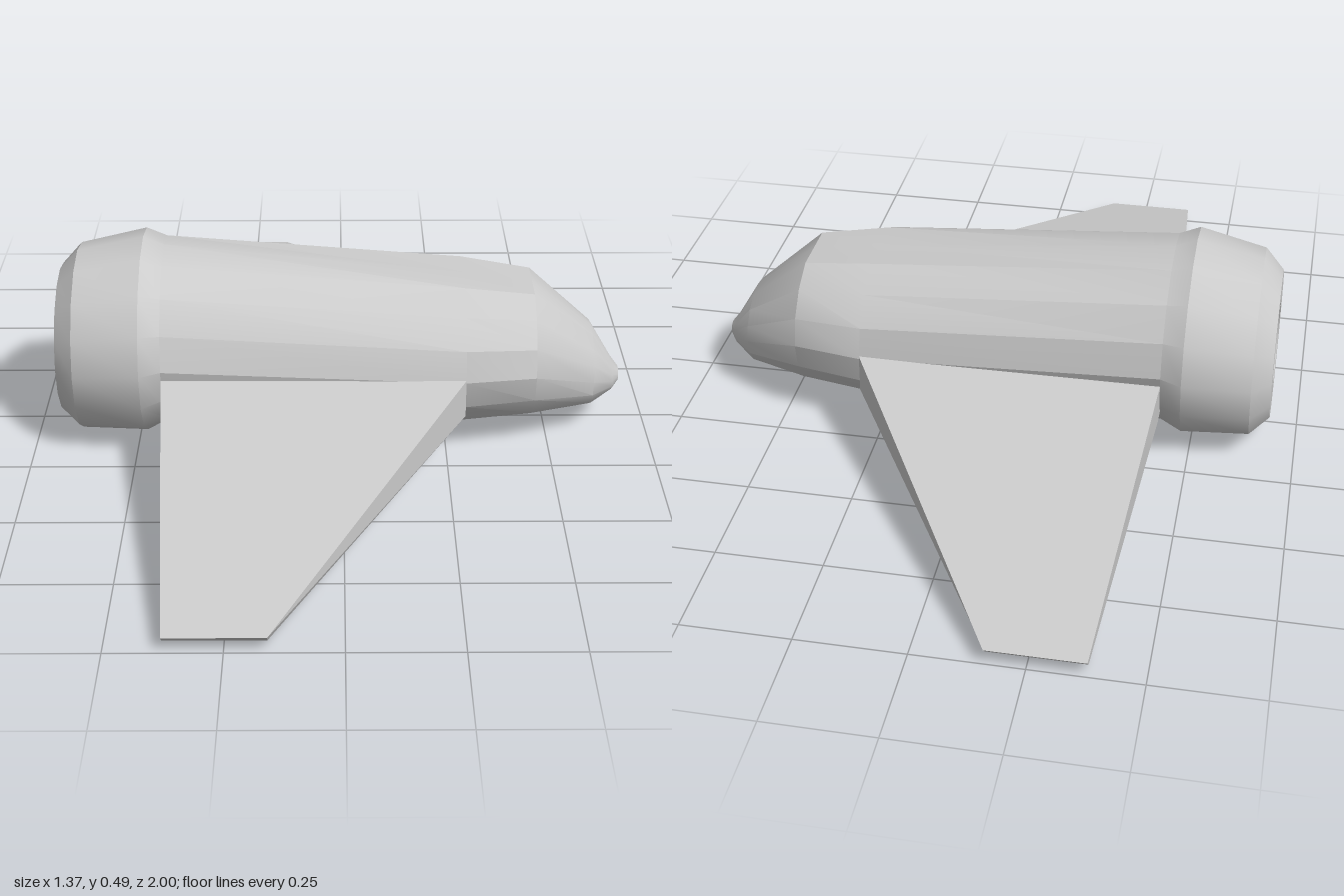
import * as THREE from 'three';
import { toCreasedNormals } from 'three/addons/utils/BufferGeometryUtils.js';

const SIDES = 16;
const material = new THREE.MeshStandardMaterial({ color: 0xcccccc });

// Skin a series of closed rings (arrays of Vector3); collapsed rings act as caps.
function loft(rings, crease) {
  const pos = [];
  const tri = (a, b, c) => {
    const area = b.clone().sub(a).cross(c.clone().sub(a)).length();
    if (area > 1e-8) pos.push(...a.toArray(), ...b.toArray(), ...c.toArray());
  };
  for (let i = 0; i < rings.length - 1; i++) {
    const n = rings[i].length;
    for (let j = 0; j < n; j++) {
      const k = (j + 1) % n;
      const a = rings[i][j], b = rings[i][k], c = rings[i + 1][k], d = rings[i + 1][j];
      tri(a, b, c);
      tri(a, c, d);
    }
  }
  const geometry = new THREE.BufferGeometry();
  geometry.setAttribute('position', new THREE.Float32BufferAttribute(pos, 3));
  return toCreasedNormals(geometry, crease);
}

// Fuselage cross-section, optionally flattened on top.
function section([x, bottom, top, halfWidth, flatTop = 9]) {
  const mid = (top + bottom) / 2, ry = (top - bottom) / 2;
  return Array.from({ length: SIDES }, (_, j) => {
    const t = (j / SIDES) * Math.PI * 2;
    return new THREE.Vector3(x, Math.min(mid + ry * Math.cos(t), flatTop), halfWidth * Math.sin(t));
  });
}

// Wing cross-section: a tapered plate, wound to suit its side.
function wingSection(side, x0, x1, yLow, yHigh, zLow, zHigh) {
  const ring = [[x0, yLow, zLow], [x1, yLow, zLow], [x1, yHigh, zHigh], [x0, yHigh, zHigh]]
    .map(([x, y, z]) => new THREE.Vector3(x, y, z * side));
  return side > 0 ? ring : ring.reverse();
}

export function createModel() {
  const group = new THREE.Group();
  const add = (name, geometry) => {
    const mesh = new THREE.Mesh(geometry, material);
    mesh.name = name;
    group.add(mesh);
  };

  // Fuselage: exhaust recess, rear collar, tapering hull, rounded nose
  // x, bottom, top, half width, flattened top
  const stations = [
    [-0.54, 0.23, 0.23, 0],
    [-0.54, 0.14, 0.32, 0.09],
    [-0.685, 0.13, 0.33, 0.1],
    [-0.685, 0.05, 0.41, 0.185],
    [-0.64, 0.005, 0.46, 0.23],
    [-0.48, 0.003, 0.495, 0.262],
    [-0.43, 0.03, 0.475, 0.243],
    [0.29, 0.03, 0.415, 0.243, 0.4],
    [0.46, 0.038, 0.39, 0.203, 0.376],
    [0.61, 0.053, 0.258, 0.115],
    [0.665, 0.085, 0.165, 0.05],
    [0.683, 0.107, 0.142, 0.022],
    [0.683, 0.125, 0.125, 0],
  ];
  add('fuselage', loft(stations.map(section), 0.42));

  // Drooping delta wings, buried slightly into the hull
  for (const side of [1, -1]) {
    add(side > 0 ? 'frontWing' : 'backWing', loft([
      wingSection(side, -0.43, 0.29, 0.14, 0.23, 0.15, 0.15),
      wingSection(side, -0.43, 0.29, 0.135, 0.229, 0.242, 0.242),
      wingSection(side, -0.378, -0.16, 0.02, 0.04, 0.98, 1),
      wingSection(side, -0.27, -0.27, 0.03, 0.03, 0.99, 0.99),
    ], 0.1));
  }
  return group;
}
